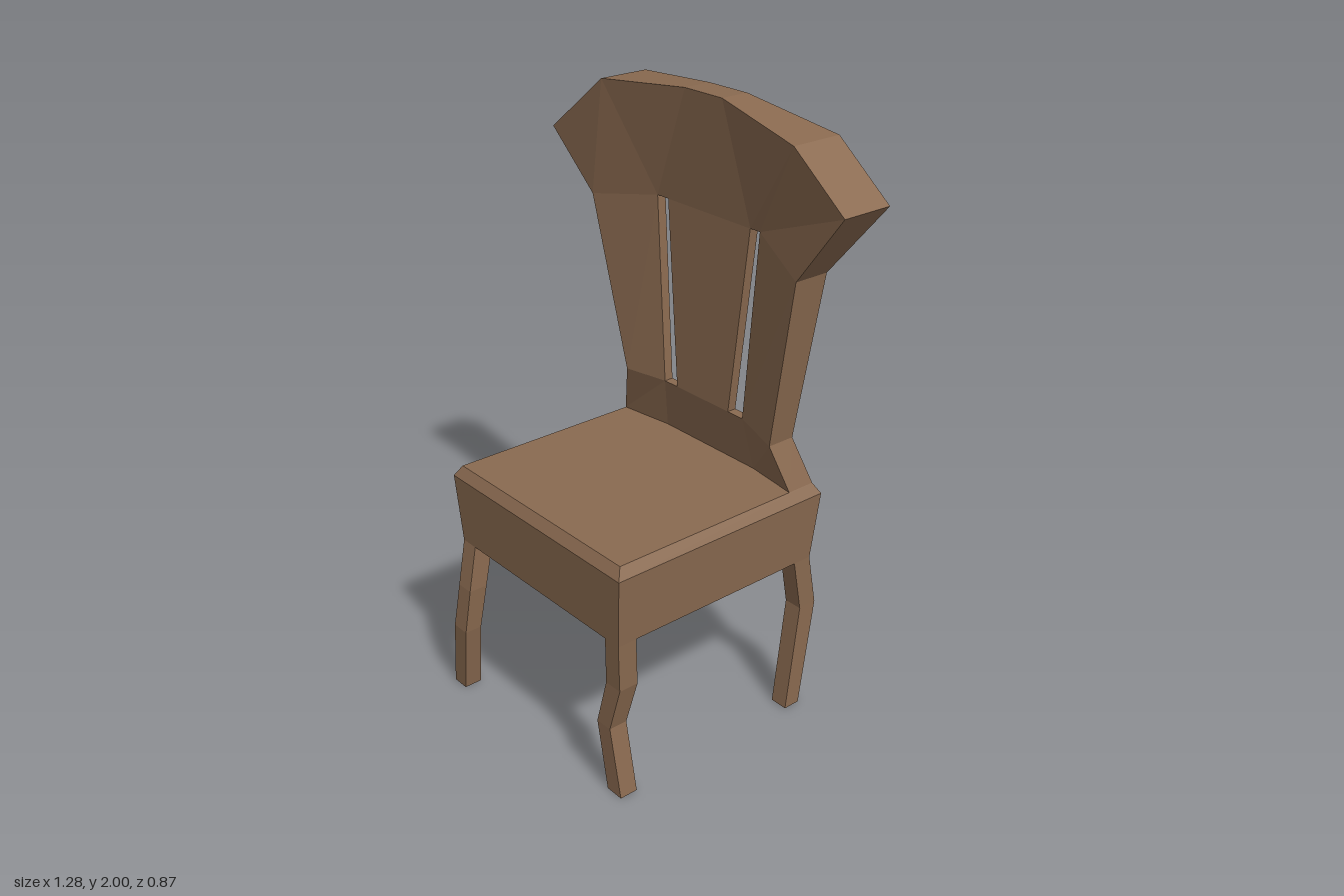
import * as THREE from 'three';

const wood = new THREE.MeshStandardMaterial({ color: 0x8a6a50, flatShading: true });
wood.name = 'brown wood';

// Flat-faced mesh from convex polygons, each a list of [x, y, z] corners
function facetMesh(name, polygons) {
  const pos = [];
  for (const p of polygons)
    for (let i = 1; i < p.length - 1; i++) pos.push(...p[0], ...p[i], ...p[i + 1]);
  const geo = new THREE.BufferGeometry();
  geo.setAttribute('position', new THREE.Float32BufferAttribute(pos, 3));
  geo.computeVertexNormals();
  const mesh = new THREE.Mesh(geo, wood);
  mesh.name = name;
  return mesh;
}

// Stack of rectangles [y, x0, x1, z0, z1], listed from bottom to top
function loft(name, sections) {
  const rings = sections.map(([y, x0, x1, z0, z1]) =>
    [[x0, y, z1], [x1, y, z1], [x1, y, z0], [x0, y, z0]]);
  const polys = [[...rings[0]].reverse(), rings[rings.length - 1]];
  for (let k = 0; k < rings.length - 1; k++)
    for (let i = 0; i < 4; i++) {
      const j = (i + 1) % 4;
      polys.push([rings[k][i], rings[k][j], rings[k + 1][j], rings[k + 1][i]]);
    }
  return facetMesh(name, polys);
}

// Panel of varying thickness; open edges of the front faces get side walls
function panel(name, points, faces) {
  const front = points.map(([x, y, zf]) => [x, y, zf]);
  const back = points.map(([x, y, , zb]) => [x, y, zb]);
  const polys = [];
  const edges = new Set();
  const eachEdge = (f, fn) => f.forEach((a, i) => fn(a, f[(i + 1) % f.length]));
  for (const f of faces) eachEdge(f, (a, b) => edges.add(`${a}-${b}`));
  for (const f of faces) {
    polys.push(f.map(i => front[i]), [...f].reverse().map(i => back[i]));
    eachEdge(f, (a, b) => {
      if (!edges.has(`${b}-${a}`)) polys.push([front[a], back[a], back[b], front[b]]);
    });
  }
  return facetMesh(name, polys);
}

export function createModel() {
  const chair = new THREE.Group();
  chair.name = 'chair';

  // Seat block with a bevelled upper edge
  chair.add(loft('seat', [
    [0.565, -0.373, 0.416, -0.397, 0.388],
    [0.80, -0.39, 0.437, -0.41, 0.402],
    [0.835, -0.37, 0.415, -0.39, 0.38],
  ]));

  // Flared backrest with two slots: hollowed thin around the slots, thick at the wings
  const slot = [-0.283, -0.315], thin = [-0.25, -0.348];
  const mid = [-0.235, -0.36], thick = [-0.21, -0.388];
  const root = [-0.29, -0.39], rootMid = [-0.315, -0.385];
  const points = [
    [-0.37, 0.835, ...root], [0.415, 0.835, ...root],
    [-0.315, 1.01, ...thin], [-0.16, 1.01, ...slot], [-0.10, 1.01, ...slot],
    [0.14, 1.01, ...slot], [0.205, 1.01, ...slot], [0.36, 0.985, ...thin],
    [-0.47, 1.58, ...mid], [-0.205, 1.63, ...slot], [-0.155, 1.63, ...slot],
    [0.21, 1.63, ...slot], [0.25, 1.63, ...slot], [0.45, 1.545, ...mid],
    [-0.64, 1.77, ...thick], [-0.39, 1.97, ...thick], [-0.05, 2, ...thin],
    [0.11, 2, ...thin], [0.44, 1.94, ...thick], [0.64, 1.785, ...thick],
    [-0.18, 0.835, ...rootMid], [0.23, 0.835, ...rootMid],
  ];
  chair.add(panel('backrest', points, [
    [0, 20, 3, 2], [20, 21, 6, 5, 4, 3], [21, 1, 7, 6],
    [2, 3, 9, 8], [4, 5, 11, 10], [6, 7, 13, 12],
    [8, 9, 15, 14], [9, 10, 16, 15], [10, 11, 17, 16], [11, 12, 18, 17], [12, 13, 19, 18],
  ]));

  // Four crooked legs, each bent differently, flush with the seat corners
  chair.add(loft('frontRightLeg', [
    [0, -0.425, -0.365, 0.357, 0.42],
    [0.25, -0.385, -0.32, 0.375, 0.435],
    [0.41, -0.367, -0.305, 0.355, 0.42],
    [0.565, -0.373, -0.31, 0.32, 0.388],
  ]));
  chair.add(loft('frontLeftLeg', [
    [0, 0.346, 0.41, 0.312, 0.375],
    [0.24, 0.307, 0.367, 0.318, 0.382],
    [0.40, 0.346, 0.41, 0.31, 0.378],
    [0.565, 0.355, 0.416, 0.32, 0.388],
  ]));
  chair.add(loft('backRightLeg', [
    [0, -0.365, -0.30, -0.39, -0.33],
    [0.31, -0.352, -0.285, -0.437, -0.37],
    [0.41, -0.365, -0.305, -0.395, -0.33],
    [0.565, -0.373, -0.31, -0.397, -0.33],
  ]));
  chair.add(loft('backLeftLeg', [
    [0, 0.348, 0.41, -0.39, -0.33],
    [0.38, 0.35, 0.413, -0.437, -0.37],
    [0.565, 0.355, 0.416, -0.397, -0.33],
  ]));

  return chair;
}
